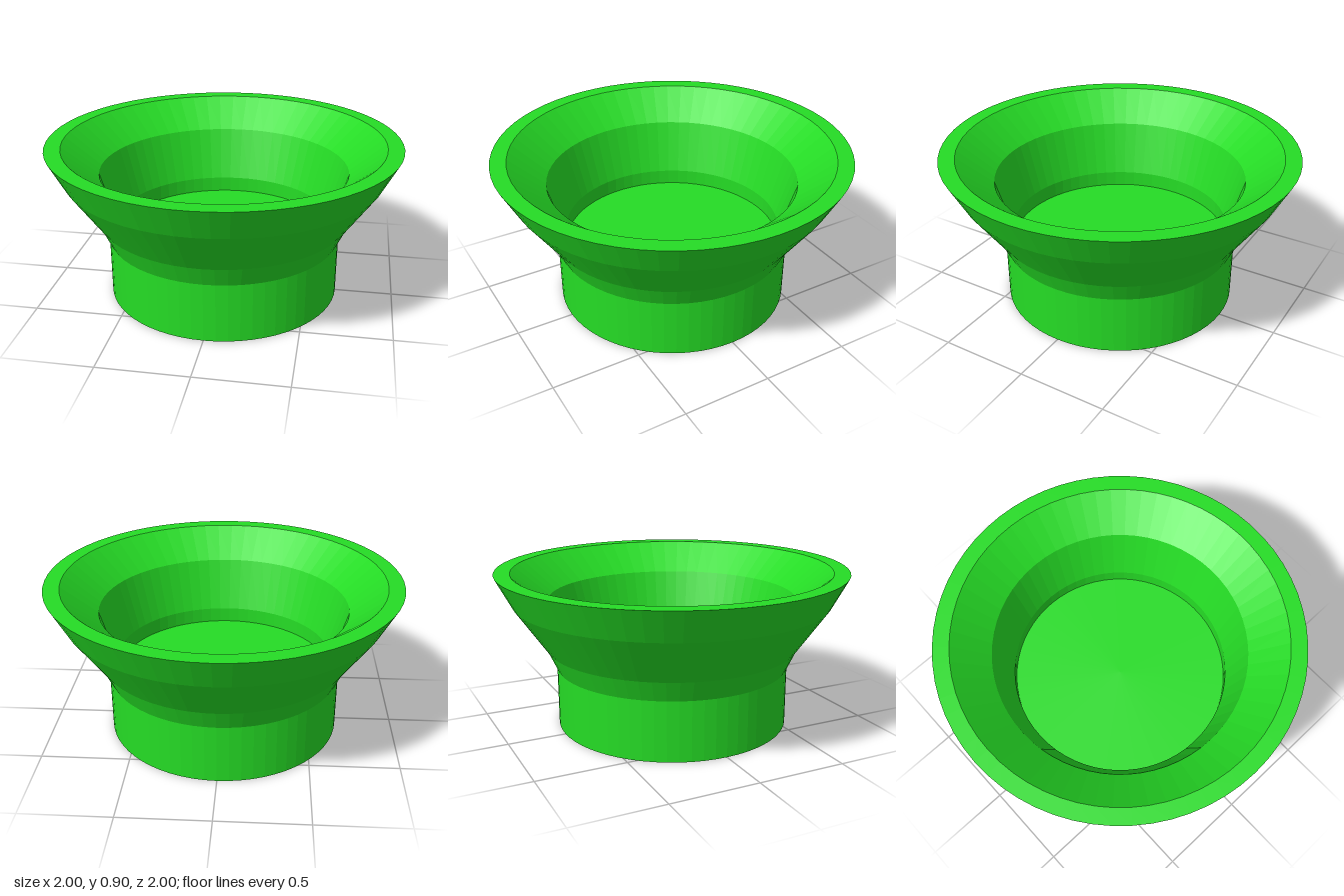
import * as THREE from 'three';

const SIDES = 64;

export function createModel() {
  const group = new THREE.Group();
  const green = new THREE.MeshStandardMaterial({ color: 0x25dc25 });
  green.name = 'bright green';

  // Spins a [radius, height] profile into a faceted part
  const turn = (name, profile) => {
    const points = profile.map(([r, y]) => new THREE.Vector2(r, y));
    const geometry = new THREE.LatheGeometry(points, SIDES).toNonIndexed();
    geometry.computeVertexNormals();
    const mesh = new THREE.Mesh(geometry, green);
    mesh.name = name;
    group.add(mesh);
  };

  // Straight foot with its closed underside
  turn('foot', [[0, 0], [0.67, 0], [0.67, 0.34]]);

  // Outer wall flaring up to the rim
  turn('flaredWall', [[0.67, 0.34], [0.725, 0.46], [0.905, 0.72], [1, 0.9]]);

  // Flat ring on top
  turn('rim', [[1, 0.9], [0.91, 0.9]]);

  // Hollow: shallow slope, steep slope, short upright step and floor
  turn('hollow', [[0.91, 0.9], [0.708, 0.735], [0.618, 0.43], [0.618, 0.34], [0, 0.34]]);

  return group;
}
